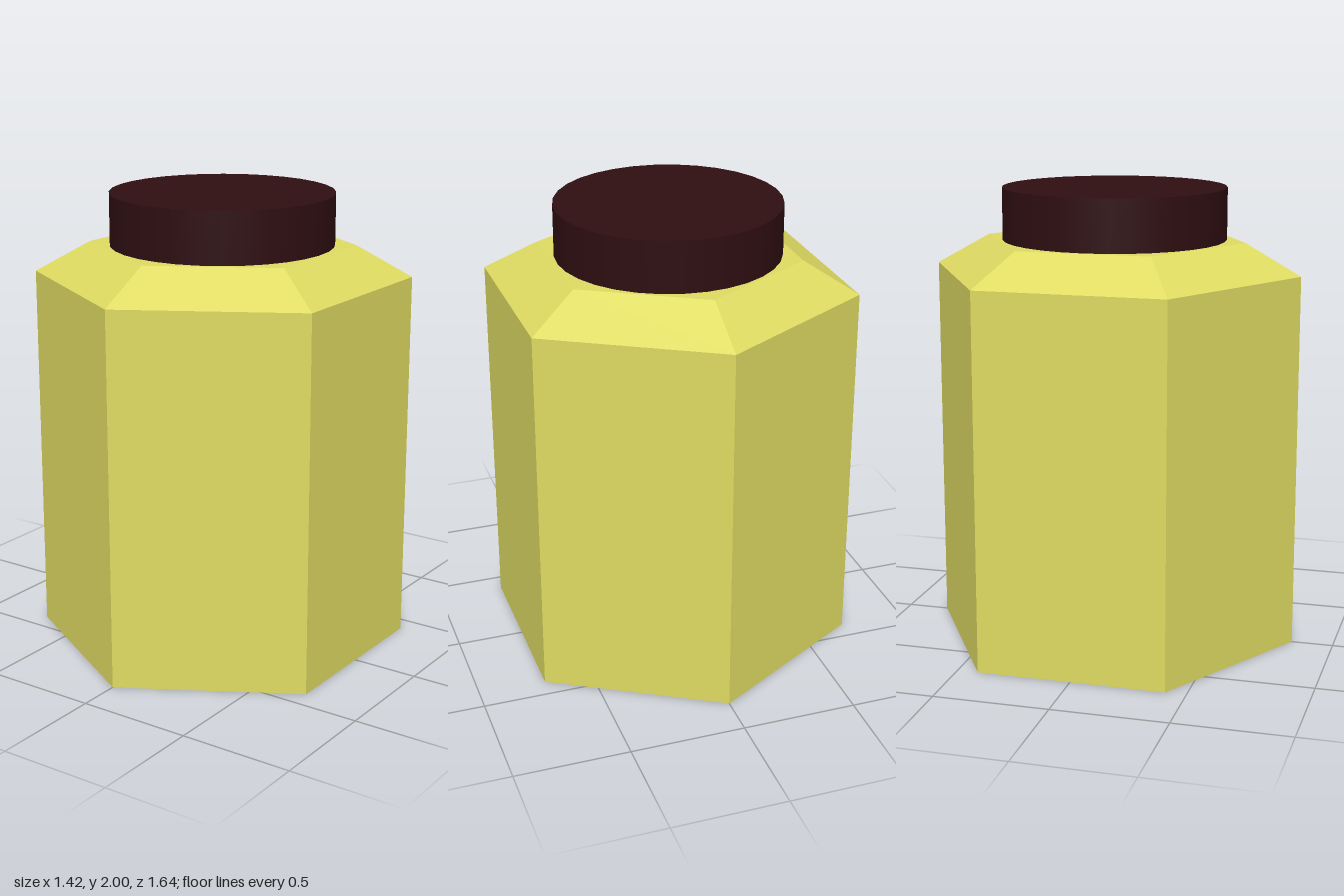
import * as THREE from 'three';

const CAP_BASE = 1.775;

export function createModel() {
  const model = new THREE.Group();
  model.name = 'jar';

  // Six-sided body: recessed base, straight walls, sloped shoulder, flat top
  const profile = [
    [0, 0.07], [0.6, 0.07], [0.818, 0], [0.818, 1.64], [0.577, CAP_BASE], [0, CAP_BASE],
  ].map(([r, y]) => new THREE.Vector2(r, y));
  const body = new THREE.Mesh(
    new THREE.LatheGeometry(profile, 6),
    new THREE.MeshStandardMaterial({ color: 0xdfdb62, flatShading: true })
  );
  body.name = 'body';
  model.add(body);

  // Round screw cap resting on the flat top
  const capHeight = 2 - CAP_BASE;
  const cap = new THREE.Mesh(
    new THREE.CylinderGeometry(0.486, 0.486, capHeight, 32),
    new THREE.MeshStandardMaterial({ color: 0x2f0e11 })
  );
  cap.name = 'cap';
  cap.position.y = CAP_BASE + capHeight / 2;
  model.add(cap);

  return model;
}
